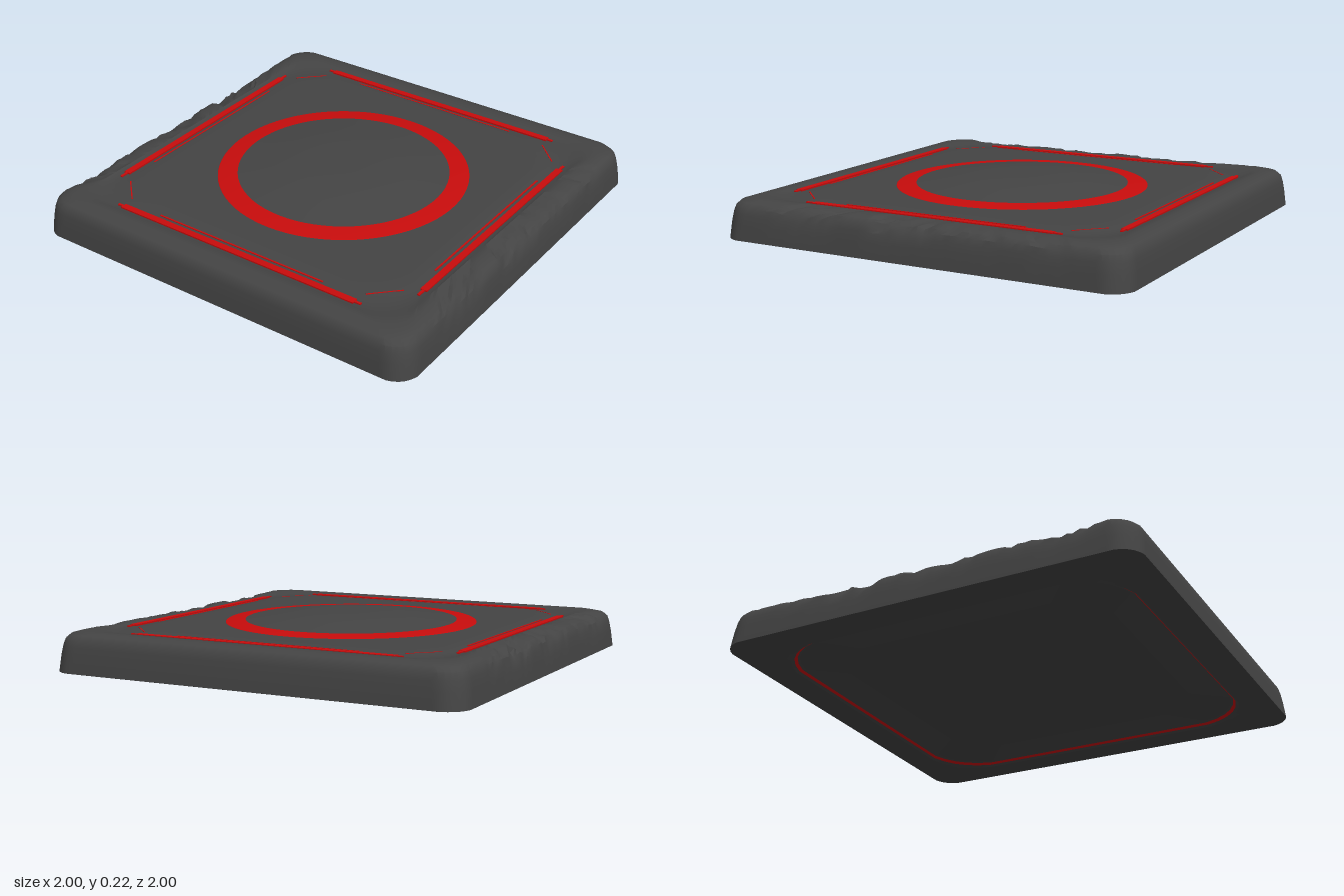
import * as THREE from 'three';
import { toCreasedNormals } from 'three/addons/utils/BufferGeometryUtils.js';

const grey = new THREE.MeshStandardMaterial({ color: 0x444444 });
grey.name = 'charcoal';
const red = new THREE.MeshStandardMaterial({ color: 0xc80c0c });
red.name = 'signalRed';

const SIDE = 56, CORNER = 5;

// Repeatable noise in 0..1
function noise(a, b) {
  const s = Math.sin(a * 127.1 + b * 311.7) * 43758.5453;
  return s - Math.floor(s);
}

// Square outline with softened cut corners; wear chips the front and back edges
function outline([half, cut, y, wear = 0], row) {
  const pts = [];
  const a = half - cut;
  for (let q = 0; q < 4; q++) {
    const c = [1, 0, -1, 0][q], s = [0, 1, 0, -1][q];
    const add = (u, v, chip) => {
      const x = u * c - v * s, z = u * s + v * c;
      pts.push([x - 0, y - chip, z - Math.sign(z) * (q % 2 ? chip * 0.4 : 0)]);
    };
    for (let i = 0; i < SIDE; i++) {
      const v = a * (2 * i / SIDE - 1);
      let chip = 0;
      if (wear && q % 2 === 1) {
        const fade = Math.min(1, i / 5, (SIDE - i) / 8);
        const patch = noise(Math.floor(i / 5), q + 3);
        chip = wear * fade * patch * (0.25 + 0.75 * noise(i + row * 17, q));
      }
      add(half, v, chip);
    }
    for (let i = 0; i < CORNER; i++) {
      const t = i / CORNER, b = 0.6 * t * (1 - t) * cut;
      add(half - cut * t + b, a + cut * t + b, 0);
    }
  }
  return pts;
}

// Skin a stack of outlines, listed from the underside out, up and back in
function loft(rows, capStart, capEnd) {
  const n = 4 * (SIDE + CORNER), pos = [], idx = [];
  rows.forEach((r, k) => outline(r, k).forEach(p => pos.push(...p)));
  for (let k = 0; k < rows.length - 1; k++) {
    for (let i = 0; i < n; i++) {
      const a = k * n + i, b = k * n + (i + 1) % n;
      idx.push(a, a + n, b, b, a + n, b + n);
    }
  }
  const cap = (k, up) => {
    const centre = pos.length / 3;
    pos.push(0, rows[k][2], 0);
    for (let i = 0; i < n; i++) {
      const a = k * n + i, b = k * n + (i + 1) % n;
      idx.push(centre, ...(up ? [b, a] : [a, b]));
    }
  };
  if (capStart) cap(0, false);
  if (capEnd) cap(rows.length - 1, true);
  const g = new THREE.BufferGeometry();
  g.setAttribute('position', new THREE.Float32BufferAttribute(pos, 3));
  g.setIndex(idx);
  return toCreasedNormals(g, 0.55);
}

export function createModel() {
  const model = new THREE.Group();
  model.name = 'floorPad';
  const add = (name, geometry, material, parent = model) => {
    const m = new THREE.Mesh(geometry, material);
    m.name = name;
    parent.add(m);
    return m;
  };

  // Slab with a rounded rim, a shallow channel and a raised centre panel
  add('slab', loft([
    [0.84, 0.22, 0.008],
    [0.85, 0.22, 0],
    [0.975, 0.09, 0],
    [1, 0.09, 0.006],
    [0.992, 0.09, 0.08],
    [0.985, 0.09, 0.125, 0.012],
    [0.977, 0.09, 0.155, 0.025],
    [0.96, 0.09, 0.174, 0.03],
    [0.93, 0.1, 0.183, 0.025],
    [0.9, 0.11, 0.185, 0.016],
    [0.87, 0.13, 0.184],
    [0.855, 0.15, 0.176],
    [0.805, 0.2, 0.174],
    [0.78, 0.2, 0.18],
    [0.72, 0.2, 0.181]
  ], false, true), grey);

  // Recessed underside with a thin red lip
  add('undersideLip', loft([[0.83, 0.22, 0.017], [0.84, 0.22, 0.008]]), red);
  add('undersidePlate', loft([[0.82, 0.22, 0.022], [0.83, 0.22, 0.017]], true), grey);

  // Low dome and the red ring around its foot
  const lathe = pts => new THREE.LatheGeometry(pts.map(p => new THREE.Vector2(...p)), 72);
  add('dome', lathe([[0.5, 0.191], [0.42, 0.201], [0.33, 0.212],
    [0.25, 0.22], [0.17, 0.224], [0.08, 0.225], [0, 0.225]]), grey);
  add('domeRing', lathe([[0.595, 0.18], [0.59, 0.184], [0.5, 0.191]]), red);

  // Red bars in the channel, fine trim lines at the panel edge and corners
  for (let i = 0; i < 4; i++) {
    const side = new THREE.Group();
    side.name = 'sideTrim' + (i + 1);
    side.rotation.y = i * Math.PI / 2;
    model.add(side);
    const bar = add('lightBar', new THREE.BoxGeometry(i % 2 ? 1.28 : 1.2, 0.008, 0.032), red, side);
    bar.position.set(0, 0.178, 0.828);
    const tip = add('lightBarCore', new THREE.BoxGeometry(i % 2 ? 1.34 : 1.28, 0.006, 0.012), red, side);
    tip.position.set(0, 0.178, 0.828);
    const line = add('panelLine', new THREE.BoxGeometry(0.9, 0.004, 0.008), red, side);
    line.position.set(0, 0.178, 0.79);
    const diagonal = add('cornerLine', new THREE.BoxGeometry(0.16, 0.004, 0.006), red, side);
    diagonal.position.set(0.705, 0.179, 0.705);
    diagonal.rotation.y = Math.PI / 4;
  }
  return model;
}
